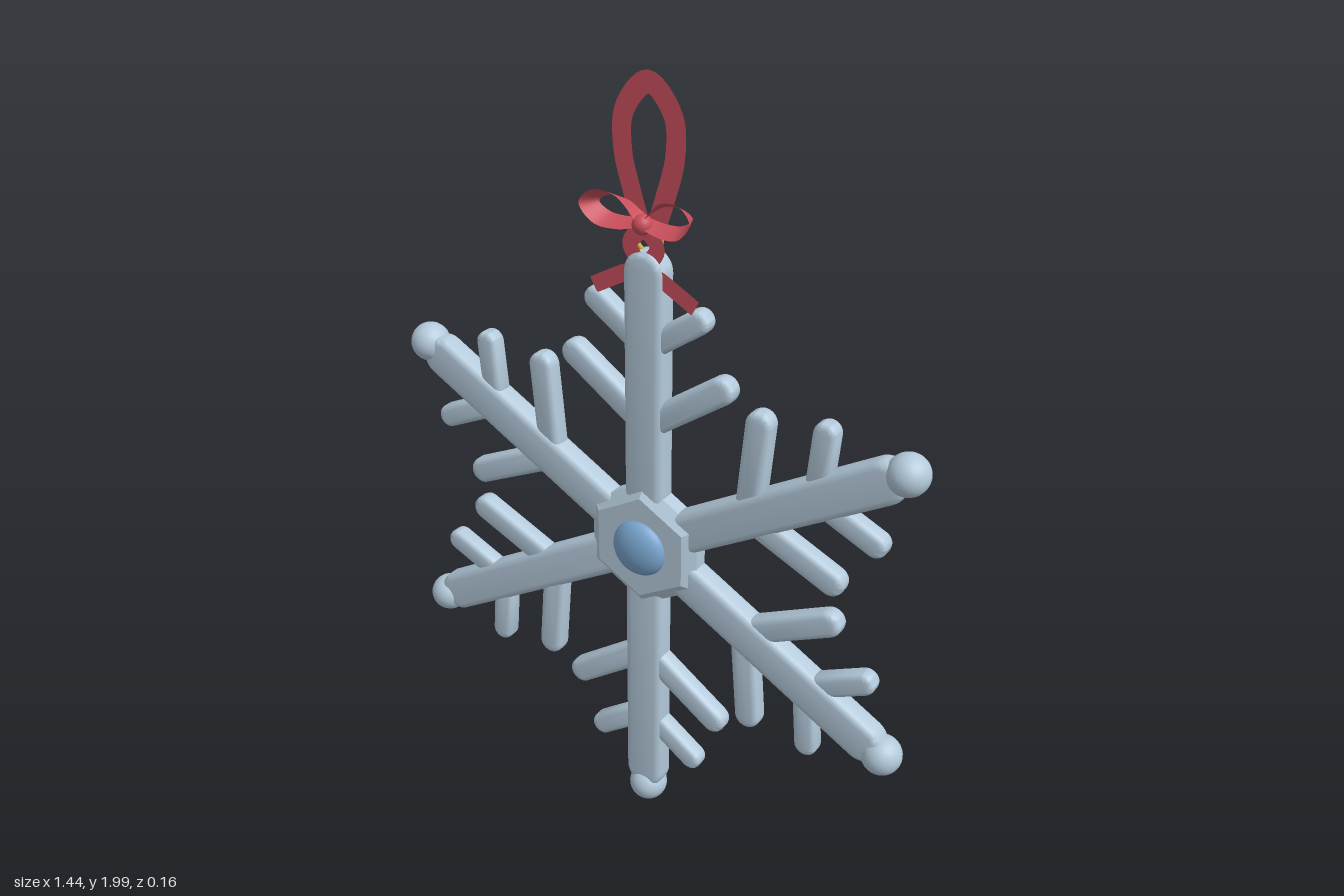
import * as THREE from 'three';
import { toCreasedNormals } from 'three/addons/utils/BufferGeometryUtils.js';

const mat = (name, color, side = THREE.FrontSide) => {
  const m = new THREE.MeshStandardMaterial({ color, side });
  m.name = name;
  return m;
};

const CENTER_Y = 0.83;
const V = (x, y, z = 0) => new THREE.Vector3(x, y, z);

// Flat bar with round ends and softened edges, running up y from y0 to y1
function barGeometry(y0, y1, halfWidth, halfDepth, bevel) {
  const r = halfWidth - bevel;
  const shape = new THREE.Shape();
  shape.absarc(0, y1 - halfWidth, r, 0, Math.PI, false);
  shape.absarc(0, y0 + halfWidth, r, Math.PI, Math.PI * 2, false);
  shape.closePath();
  const depth = 2 * (halfDepth - bevel);
  const g = new THREE.ExtrudeGeometry(shape, {
    depth, bevelEnabled: true, bevelSize: bevel, bevelThickness: bevel,
    bevelSegments: 3, curveSegments: 10,
  });
  g.translate(0, 0, -depth / 2);
  return toCreasedNormals(g, 0.7);
}

// Strip of cloth between two edge curves
function stripGeometry(edgeA, edgeB) {
  const pos = [], idx = [];
  edgeA.forEach((a, i) => {
    const b = edgeB[i];
    pos.push(a.x, a.y, a.z, b.x, b.y, b.z);
    if (i) {
      const k = 2 * i;
      idx.push(k - 2, k - 1, k, k - 1, k + 1, k);
    }
  });
  const g = new THREE.BufferGeometry();
  g.setAttribute('position', new THREE.Float32BufferAttribute(pos, 3));
  g.setIndex(idx);
  g.computeVertexNormals();
  return g;
}

// Cloth strip lying in the x-y plane, centred on a path
function flatRibbon(points, halfWidth, segments = 40) {
  const curve = new THREE.CatmullRomCurve3(points);
  const a = [], b = [];
  for (let i = 0; i <= segments; i++) {
    const p = curve.getPoint(i / segments), t = curve.getTangent(i / segments);
    const n = V(-t.y, t.x).normalize().multiplyScalar(halfWidth);
    a.push(p.clone().add(n));
    b.push(p.clone().sub(n));
  }
  return stripGeometry(a, b);
}

export function createModel() {
  const model = new THREE.Group();
  model.name = 'snowflakeOrnament';
  const ice = mat('ice', 0xb4cadb);
  const blue = mat('blueGem', 0x7aa6d0);
  const red = mat('redRibbon', 0xc94f5c, THREE.DoubleSide);
  const gold = mat('gold', 0xc9a030);

  const add = (parent, name, geometry, material, x = 0, y = 0, z = 0) => {
    const m = new THREE.Mesh(geometry, material);
    m.name = name;
    m.position.set(x, y, z);
    parent.add(m);
    return m;
  };

  // Six arms with two pairs of branches each; the top arm has no tip ball
  const flake = new THREE.Group();
  flake.name = 'snowflake';
  flake.position.y = CENTER_Y;
  model.add(flake);
  const armGeo = barGeometry(0, 0.77, 0.054, 0.032, 0.018);
  const ballGeo = new THREE.SphereGeometry(0.051, 24, 16);
  const branches = [
    { name: 'longBranch', base: 0.327, length: 0.283, geo: barGeometry(0, 0.283, 0.034, 0.026, 0.015) },
    { name: 'shortBranch', base: 0.527, length: 0.2, geo: barGeometry(0, 0.2, 0.03, 0.025, 0.014) },
  ];
  for (let i = 0; i < 6; i++) {
    const arm = new THREE.Group();
    arm.name = 'arm' + (i + 1);
    arm.rotation.z = i * Math.PI / 3;
    flake.add(arm);
    add(arm, 'armBar', armGeo, ice);
    if (i) add(arm, 'tipBall', ballGeo, ice, 0, 0.772, 0);
    for (const b of branches) {
      for (const s of [-1, 1]) {
        add(arm, b.name, b.geo, ice, 0, b.base, 0).rotation.z = s * THREE.MathUtils.degToRad(55);
      }
    }
  }

  // Chamfered hexagonal hub
  const profile = [[0, -0.043], [0.14, -0.043], [0.175, -0.02], [0.175, 0.02], [0.14, 0.043], [0, 0.043]];
  const hubGeo = new THREE.LatheGeometry(profile.map(p => new THREE.Vector2(...p)), 6).toNonIndexed();
  hubGeo.computeVertexNormals();
  add(flake, 'hub', hubGeo, ice).rotation.x = Math.PI / 2;

  // Domed gem on both faces
  for (const s of [-1, 1]) {
    add(flake, s > 0 ? 'frontGem' : 'backGem', new THREE.SphereGeometry(0.075, 32, 20), blue, 0, 0, s * 0.04)
      .scale.z = 0.52;
  }

  // Hanging ring
  add(model, 'hangingRing', new THREE.TorusGeometry(0.034, 0.006, 10, 32), gold, 0, 1.625, 0);

  // Hanging loop
  const ribbon = new THREE.Group();
  ribbon.name = 'ribbon';
  model.add(ribbon);
  const side = [[0.012, 1.63], [0.042, 1.72], [0.068, 1.82], [0.062, 1.91]];
  const loopPoints = [
    ...side.map(([x, y]) => V(x, y)), V(0, 1.975),
    ...side.slice().reverse().map(([x, y]) => V(-x, y)),
  ];
  add(ribbon, 'hangingLoop', flatRibbon(loopPoints, 0.025, 64), red);

  // Bow loops flaring toward the front, and curling tails
  const bowPath = [[0.005, 1.672], [0.06, 1.728], [0.115, 1.733], [0.145, 1.7], [0.11, 1.657], [0.055, 1.65], [0.005, 1.66]];
  const tailPath = [[0.005, 1.66], [-0.036, 1.612], [0, 1.565], [0.06, 1.535], [0.138, 1.492]];
  for (const s of [-1, 1]) {
    const label = s > 0 ? 'left' : 'right';
    const curve = new THREE.CatmullRomCurve3(bowPath.map(([x, y]) => V(x, y)));
    const front = [], back = [];
    for (const p of curve.getPoints(40)) {
      front.push(V(s * p.x, p.y, 0.04 + 0.17 * p.x));
      back.push(V(s * p.x * 0.85, 1.69 + (p.y - 1.69) * 0.5, 0.005 + 0.06 * p.x));
    }
    add(ribbon, label + 'BowLoop', stripGeometry(front, back), red);
    const tail = tailPath.map(([x, y]) => V(s * x, y, 0.022 + s * 0.001));
    add(ribbon, label + 'Tail', flatRibbon(tail, 0.02), red);
  }
  add(ribbon, 'knot', new THREE.SphereGeometry(0.024, 20, 14), red, 0, 1.664, 0.026);

  return model;
}
